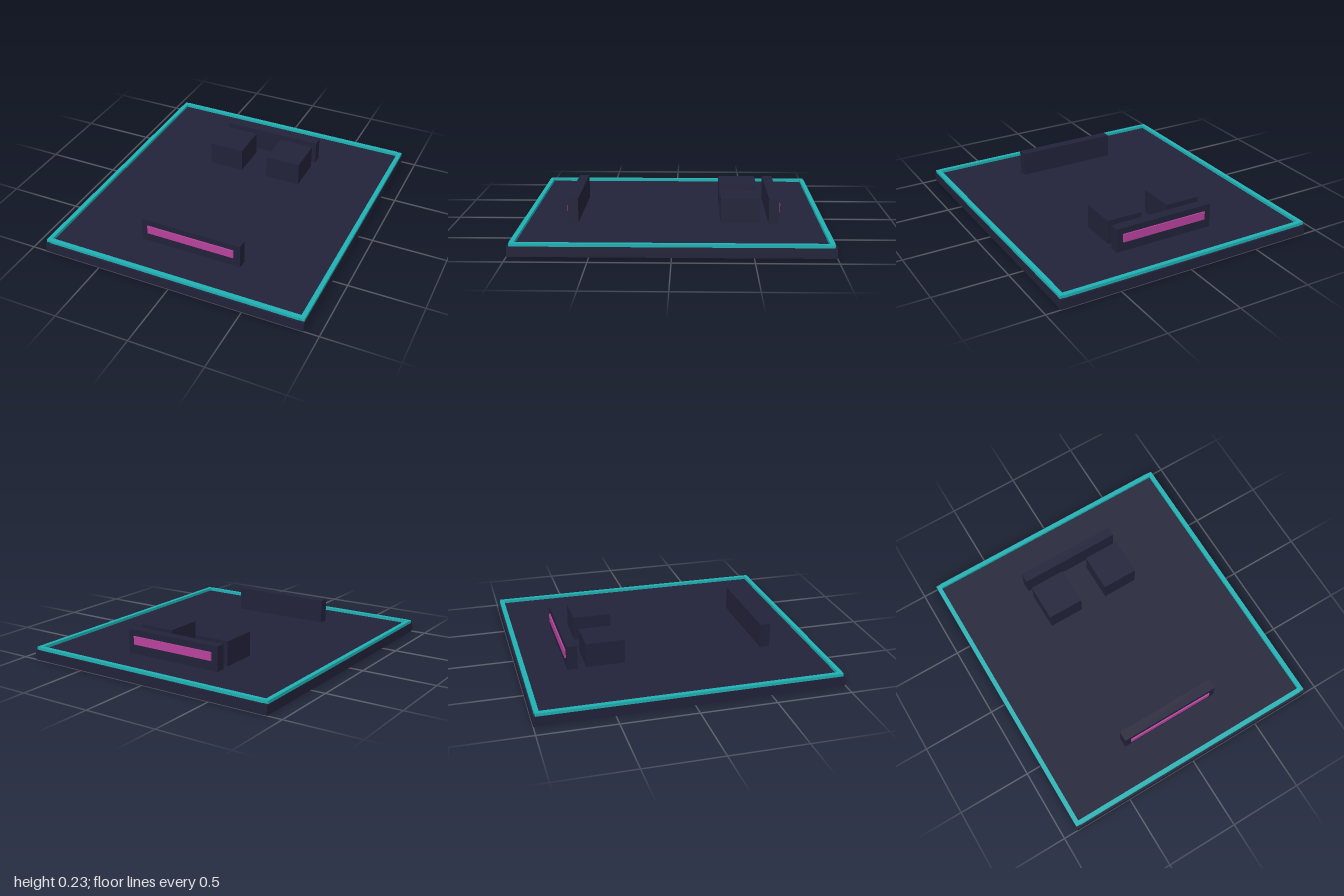
import * as THREE from 'three';

export function createModel() {
  const model = new THREE.Group();
  const mat = (name, color) => {
    const m = new THREE.MeshStandardMaterial({ color });
    m.name = name;
    return m;
  };
  const navy = mat('dark navy', 0x22223a);
  const teal = mat('teal', 0x20b2b4);
  const magenta = mat('magenta', 0xb8429c);

  // box given by its centre in x and z, its bottom and its size
  const box = (name, material, [w, h, d], [x, bottom, z]) => {
    const mesh = new THREE.Mesh(new THREE.BoxGeometry(w, h, d), material);
    mesh.name = name;
    mesh.position.set(x, bottom + h / 2, z);
    model.add(mesh);
  };

  const floorTop = 0.065;
  box('platform', navy, [1.8, floorTop, 2], [0, 0, 0]);

  for (const s of [-1, 1]) {
    // glowing edge strips
    box('sideStrip', teal, [0.03, 0.02, 1.97], [s * 0.883, floorTop, 0]);
    box('endStrip', teal, [1.736, 0.02, 0.03], [0, floorTop, s * 0.973]);
    // low wall at each end with a bright panel facing outward
    box('endWall', navy, [0.7, 0.163, 0.068], [0, floorTop, s * 0.66]);
    box('wallPanel', magenta, [0.61, 0.056, 0.009], [0, 0.13, s * 0.6985]);
    // pair of blocks near the back
    box('block', navy, [0.245, 0.163, 0.258], [s * 0.218, floorTop, -0.439]);
  }
  return model;
}
